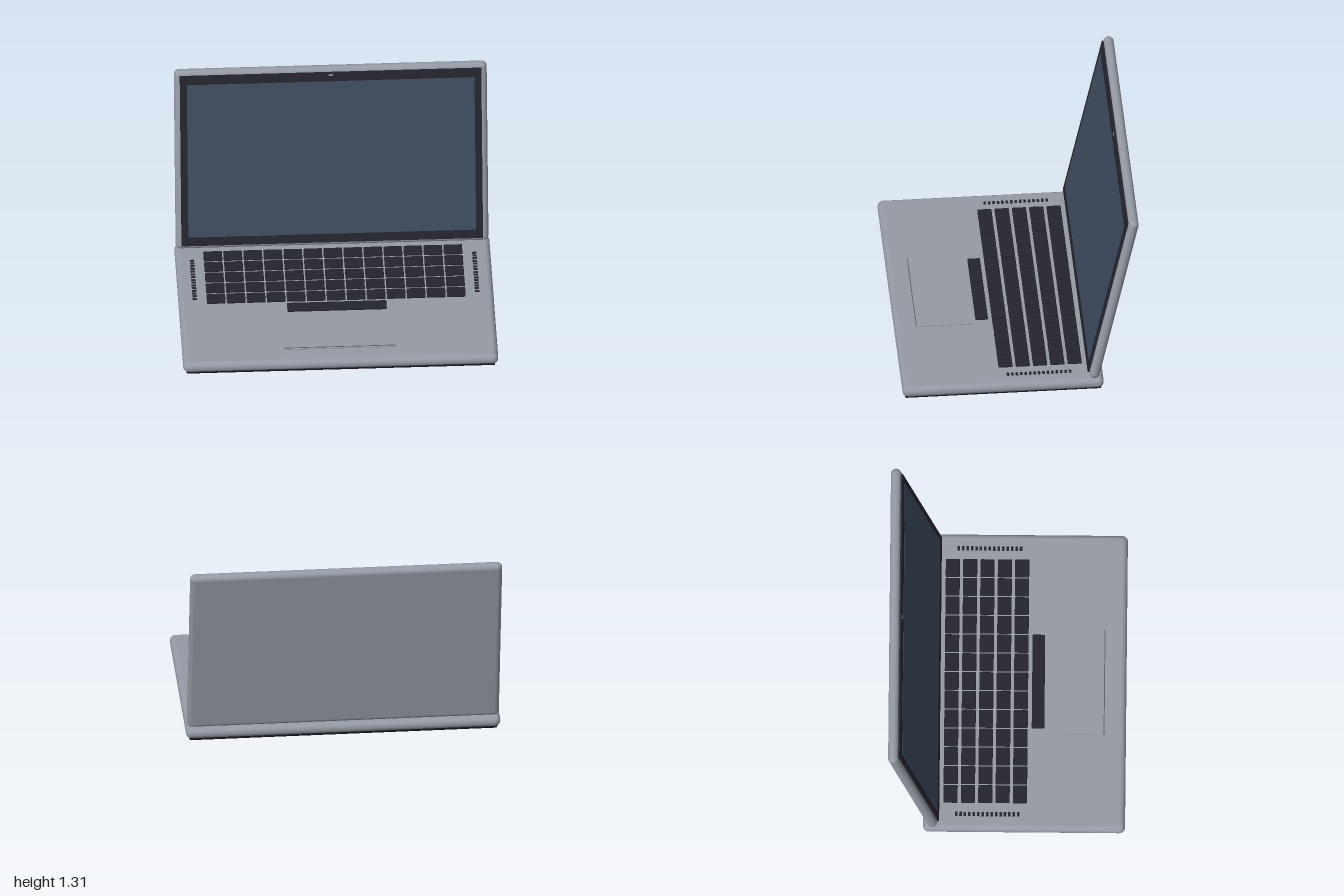
import * as THREE from 'three';
import { RoundedBoxGeometry } from 'three/addons/geometries/RoundedBoxGeometry.js';

const mat = (name, color) => {
  const m = new THREE.MeshStandardMaterial({ color });
  m.name = name;
  return m;
};

export function createModel() {
  const aluminium = mat('aluminium', 0x949aa4);
  const darkPlastic = mat('dark plastic', 0x25252f);
  const blackRubber = mat('black underside', 0x17171c);
  const glass = mat('screen blue', 0x3d4c5e);
  const lens = mat('camera lens', 0x74869a);
  const seam = mat('seam grey', 0x5c616b);

  const model = new THREE.Group();
  model.name = 'laptop';

  const add = (parent, name, geometry, material, x, y, z) => {
    const mesh = new THREE.Mesh(geometry, material);
    mesh.name = name;
    mesh.position.set(x, y, z);
    parent.add(mesh);
    return mesh;
  };
  const box = (w, h, d) => new THREE.BoxGeometry(w, h, d);
  const rounded = (w, h, d, r, s = 5) => new RoundedBoxGeometry(w, h, d, s, r);
  const group = (parent, name) => {
    const g = new THREE.Group();
    g.name = name;
    parent.add(g);
    return g;
  };

  // Base shell and underside plate
  const base = group(model, 'base');
  add(base, 'baseShell', rounded(2, 0.075, 1.28, 0.036), aluminium, 0, 0.0485, 0.112);
  add(base, 'undersidePlate', rounded(1.96, 0.03, 1.25, 0.01, 2), blackRubber, 0, 0.015, 0.112);

  // Keyboard: five rows of thirteen keys and a space bar
  const keyboard = group(base, 'keyboard');
  const keyGeometry = rounded(0.118, 0.018, 0.09, 0.006, 2);
  for (let row = 0; row < 5; row++) {
    for (let col = 0; col < 13; col++) {
      add(keyboard, 'key', keyGeometry, darkPlastic, (col - 6) * 0.127, 0.091, -0.356 + row * 0.11);
    }
  }
  add(keyboard, 'spaceBar', rounded(0.63, 0.018, 0.08, 0.006, 2), darkPlastic, 0, 0.091, 0.194);

  // Touchpad with a fine seam near its front edge
  add(base, 'touchpad', box(0.71, 0.008, 0.385), aluminium, 0, 0.087, 0.4325);
  add(base, 'touchpadSeam', box(0.705, 0.002, 0.006), seam, 0, 0.0915, 0.613);

  // Speaker slots on both sides of the keyboard
  const speakers = group(base, 'speakerSlots');
  const slotGeometry = box(0.028, 0.006, 0.016);
  for (const side of [-1, 1]) {
    for (let i = 0; i < 15; i++) {
      add(speakers, 'speakerSlot', slotGeometry, darkPlastic, side * 0.896, 0.087, -0.32 + i * 0.0282);
    }
  }

  // Lid, leaning back, with bezel, screen and camera on its front
  const lid = group(model, 'lid');
  lid.position.set(0, 0.6975, -0.594);
  lid.rotation.x = -THREE.MathUtils.degToRad(12);
  add(lid, 'lidShell', rounded(1.986, 1.256, 0.065, 0.032), aluminium, 0, 0, 0);
  add(lid, 'bezel', box(1.914, 1.195, 0.014), darkPlastic, 0, 0, 0.037);
  add(lid, 'screen', box(1.826, 1.073, 0.004), glass, 0, 0, 0.0445);
  add(lid, 'camera', box(0.028, 0.01, 0.005), lens, 0, 0.581, 0.0455);

  return model;
}
